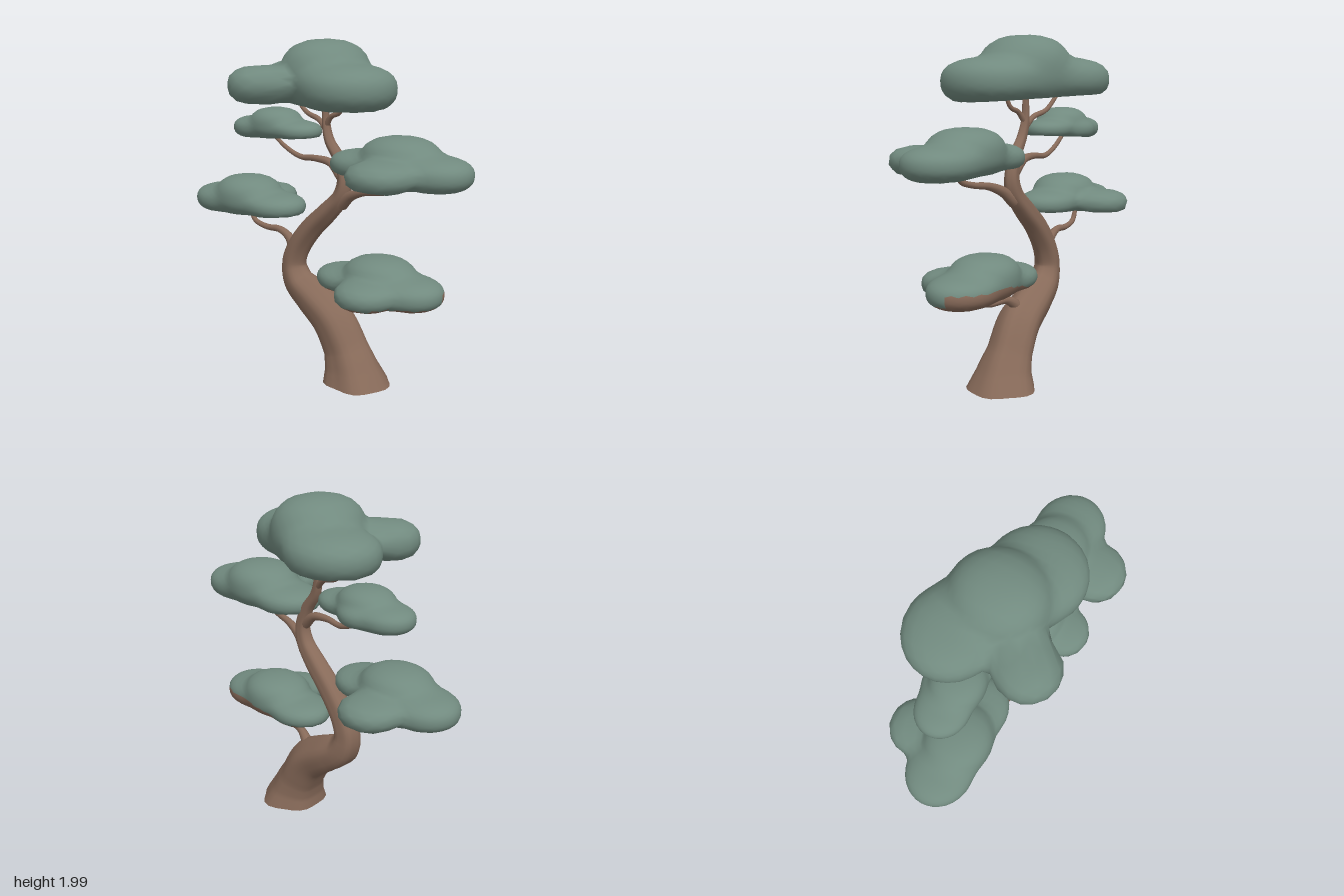
import * as THREE from 'three';
import { mergeVertices } from 'three/addons/utils/BufferGeometryUtils.js';

// Tapered tube through points [x, y, z, radius]; lobed and level-footed for the trunk
function taperedTube(points, sides, rings, isTrunk = false) {
  const curve = new THREE.CatmullRomCurve3(points.map(p => new THREE.Vector3(p[0], p[1], p[2])));
  const pos = [], index = [], up = new THREE.Vector3(0, 1, 0);
  const side = new THREE.Vector3(), normal = new THREE.Vector3();
  for (let i = 0; i <= rings; i++) {
    const u = i / rings;
    const c = curve.getPoint(u);
    let t = curve.getTangent(u);
    if (isTrunk) t = up.clone().lerp(t, Math.min(1, c.y / 0.25)).normalize();
    side.set(1, 0, 0).addScaledVector(t, -t.x).normalize();
    normal.crossVectors(t, side);
    const s = u * (points.length - 1), k = Math.min(Math.floor(s), points.length - 2);
    const radius = THREE.MathUtils.lerp(points[k][3], points[k + 1][3], s - k);
    for (let j = 0; j < sides; j++) {
      const a = j / sides * Math.PI * 2;
      const ridge = isTrunk ? 1 + 0.05 * Math.cos(5 * a + 0.6 + u * 3) + 0.025 * Math.cos(3 * a - u * 5) : 1;
      const r = radius * ridge;
      const p = c.clone().addScaledVector(side, r * Math.cos(a)).addScaledVector(normal, r * Math.sin(a));
      pos.push(p.x, Math.max(0, p.y), p.z);
    }
  }
  for (let i = 0; i < rings; i++) {
    for (let j = 0; j < sides; j++) {
      const a = i * sides + j, b = i * sides + (j + 1) % sides;
      index.push(a, b, a + sides, b, b + sides, a + sides);
    }
  }
  // Close the tip
  const end = curve.getPoint(1), tip = pos.length / 3;
  pos.push(end.x, end.y, end.z);
  for (let j = 0; j < sides; j++) index.push(rings * sides + j, rings * sides + (j + 1) % sides, tip);
  const g = new THREE.BufferGeometry();
  g.setAttribute('position', new THREE.Float32BufferAttribute(pos, 3));
  g.setIndex(index);
  g.computeVertexNormals();
  return g;
}

// Flat-bottomed cloud: a sphere pushed out to the blended skin of several boxy ellipsoids
function cloud(lobes, centre, half, bottom) {
  let g = new THREE.IcosahedronGeometry(1, 7);
  g.deleteAttribute('normal');
  g.deleteAttribute('uv');
  g = mergeVertices(g, 1e-4);
  const pos = g.attributes.position, d = new THREE.Vector3(), p = new THREE.Vector3();
  const field = q => lobes.reduce((sum, [x, y, z, rx, ry, rz]) => {
    const plan = ((q.x - x) / rx) ** 2 + ((q.z - z) / rz) ** 2;
    const e = plan ** 1.25 + Math.abs((q.y - y) / ry) ** 2.5;
    return sum + Math.exp(-3.5 * (e - 1));
  }, 0);
  for (let i = 0; i < pos.count; i++) {
    d.fromBufferAttribute(pos, i).multiply(half);
    let t = 2.5;
    while (t > 0.05 && field(p.copy(centre).addScaledVector(d, t)) < 1) t -= 0.02;
    let lo = t, hi = t + 0.02;
    for (let n = 0; n < 8; n++) {
      const mid = (lo + hi) / 2;
      if (field(p.copy(centre).addScaledVector(d, mid)) < 1) hi = mid; else lo = mid;
    }
    p.copy(centre).addScaledVector(d, lo);
    pos.setXYZ(i, p.x, Math.max(bottom(p), p.y), p.z);
  }
  g.computeVertexNormals();
  return g;
}

// Side pad: dome, outer and inner ends along z, one lobe to the side; dir -1 turns it round
function sidePad(x, y, z, scale, dir, lobeX = 0.25) {
  const base = [
    [0.01, 0.12, 0, 0.205, 0.135, 0.23],
    [0, 0.075, 0.21, 0.2, 0.095, 0.22],
    [0.01, 0.08, -0.23, 0.185, 0.08, 0.21],
    [-lobeX, 0.07, 0.04, 0.175, 0.085, 0.18],
  ];
  const lobes = base.map(([a, b, c, rx, ry, rz]) => [
    x + dir * a * scale, y + b * scale, z + dir * c * scale, rx * scale, ry * scale, rz * scale]);
  return cloud(lobes, new THREE.Vector3(x, y + 0.08 * scale, z),
    new THREE.Vector3(0.25, 0.13, 0.42).multiplyScalar(scale),
    p => y + 0.012 * scale - 0.06 * dir * (p.z - z));
}

// Sort faces into two material groups
function splitFaces(g, test) {
  const pos = g.attributes.position, idx = g.index.array, groups = [[], []];
  const [a, b, c] = [0, 1, 2].map(() => new THREE.Vector3());
  const n = new THREE.Vector3(), mid = new THREE.Vector3();
  for (let i = 0; i < idx.length; i += 3) {
    [a, b, c].forEach((v, k) => v.fromBufferAttribute(pos, idx[i + k]));
    new THREE.Triangle(a, b, c).getNormal(n);
    mid.copy(a).add(b).add(c).divideScalar(3);
    groups[test(mid, n) ? 1 : 0].push(idx[i], idx[i + 1], idx[i + 2]);
  }
  g.setIndex([...groups[0], ...groups[1]]);
  g.addGroup(0, groups[0].length, 0);
  g.addGroup(groups[0].length, groups[1].length, 1);
}

export function createModel() {
  const model = new THREE.Group();
  const bark = new THREE.MeshStandardMaterial({ color: 0x876a59, side: THREE.DoubleSide });
  bark.name = 'bark brown';
  const leaf = new THREE.MeshStandardMaterial({ color: 0x718a7f });
  leaf.name = 'leaf green';
  const add = (name, geometry, material) => {
    const mesh = new THREE.Mesh(geometry, material);
    mesh.name = name;
    model.add(mesh);
  };

  // S-curved trunk with a flared foot
  add('trunk', taperedTube([
    [0.04, 0, 0.25, 0.195], [0.04, 0.09, 0.215, 0.158], [0.045, 0.19, 0.165, 0.132],
    [0.045, 0.34, 0.07, 0.125],
    [0.05, 0.45, -0.09, 0.11], [0.05, 0.53, -0.21, 0.092], [0.05, 0.63, -0.25, 0.075],
    [0.05, 0.74, -0.215, 0.07], [0.05, 0.88, -0.11, 0.066], [0.045, 1.0, 0.02, 0.06],
    [0.04, 1.1, 0.115, 0.05], [0.04, 1.2, 0.14, 0.042], [0.04, 1.32, 0.1, 0.035],
    [0.04, 1.42, 0.03, 0.029], [0.045, 1.52, 0, 0.024], [0.045, 1.66, 0, 0.017],
  ], 24, 75, true), bark);

  // Branches, each running up into its pad
  const branches = {
    lowFrontBranch: [[0.05, 0.36, 0.08, 0.04], [0.05, 0.44, 0.1, 0.036], [0.03, 0.495, 0.18, 0.024],
      [0.01, 0.5, 0.33, 0.018], [0.01, 0.53, 0.42, 0.016], [0.01, 0.59, 0.46, 0.013]],
    highFrontBranch: [[0.04, 1.06, 0.12, 0.04], [0.02, 1.12, 0.2, 0.03], [0, 1.16, 0.31, 0.022],
      [-0.02, 1.18, 0.45, 0.018], [-0.03, 1.21, 0.54, 0.016], [-0.03, 1.28, 0.58, 0.013]],
    lowBackBranch: [[0.05, 0.7, -0.24, 0.042], [0.05, 0.79, -0.29, 0.028], [0.05, 0.83, -0.37, 0.021],
      [0.05, 0.83, -0.48, 0.018], [0.05, 0.86, -0.58, 0.016], [0.05, 0.95, -0.62, 0.013]],
    highBackBranch: [[0.04, 1.22, 0.12, 0.034], [0.05, 1.29, 0.03, 0.024], [0.05, 1.305, -0.08, 0.019],
      [0.06, 1.3, -0.2, 0.016], [0.06, 1.34, -0.31, 0.014], [0.06, 1.42, -0.43, 0.012]],
    crownFrontTwig: [[0.045, 1.5, 0, 0.02], [0.03, 1.56, 0.05, 0.015], [0.02, 1.59, 0.12, 0.013],
      [0.01, 1.67, 0.16, 0.011]],
    crownBackTwig: [[0.045, 1.47, 0.01, 0.02], [0.06, 1.53, -0.06, 0.016], [0.08, 1.57, -0.18, 0.014],
      [0.1, 1.67, -0.29, 0.011]],
  };
  for (const [name, points] of Object.entries(branches)) add(name, taperedTube(points, 10, 24), bark);

  // Crown
  add('crownFoliage', cloud([
    [0.04, 1.79, 0, 0.27, 0.203, 0.25],
    [-0.05, 1.73, 0.23, 0.27, 0.135, 0.27],
    [0.17, 1.745, -0.25, 0.25, 0.125, 0.27],
    [-0.25, 1.74, -0.24, 0.18, 0.11, 0.18],
  ], new THREE.Vector3(0.01, 1.74, 0), new THREE.Vector3(0.35, 0.2, 0.48),
  p => 1.638 - 0.04 * p.z + 0.03 * p.x), leaf);

  // Side pads
  add('highFrontFoliage', sidePad(0, 1.24, 0.545, 1, 1), leaf);
  add('lowBackFoliage', sidePad(0, 0.92, -0.57, 0.94, -1), leaf);
  add('highBackFoliage', sidePad(0.07, 1.395, -0.4, 0.73, -1, 0.07), leaf);

  // Lowest pad has a bark-coloured underside that climbs its left edge
  const lowPad = sidePad(0.02, 0.56, 0.405, 0.94, 1, 0.2);
  splitFaces(lowPad, (p, n) => n.y < -0.7 || (p.x > 0.06 && p.y < 0.585 + 0.065 * THREE.MathUtils.smoothstep(p.z, 0.05, 0.5)));
  add('lowFrontFoliage', lowPad, [leaf, bark]);
  return model;
}
